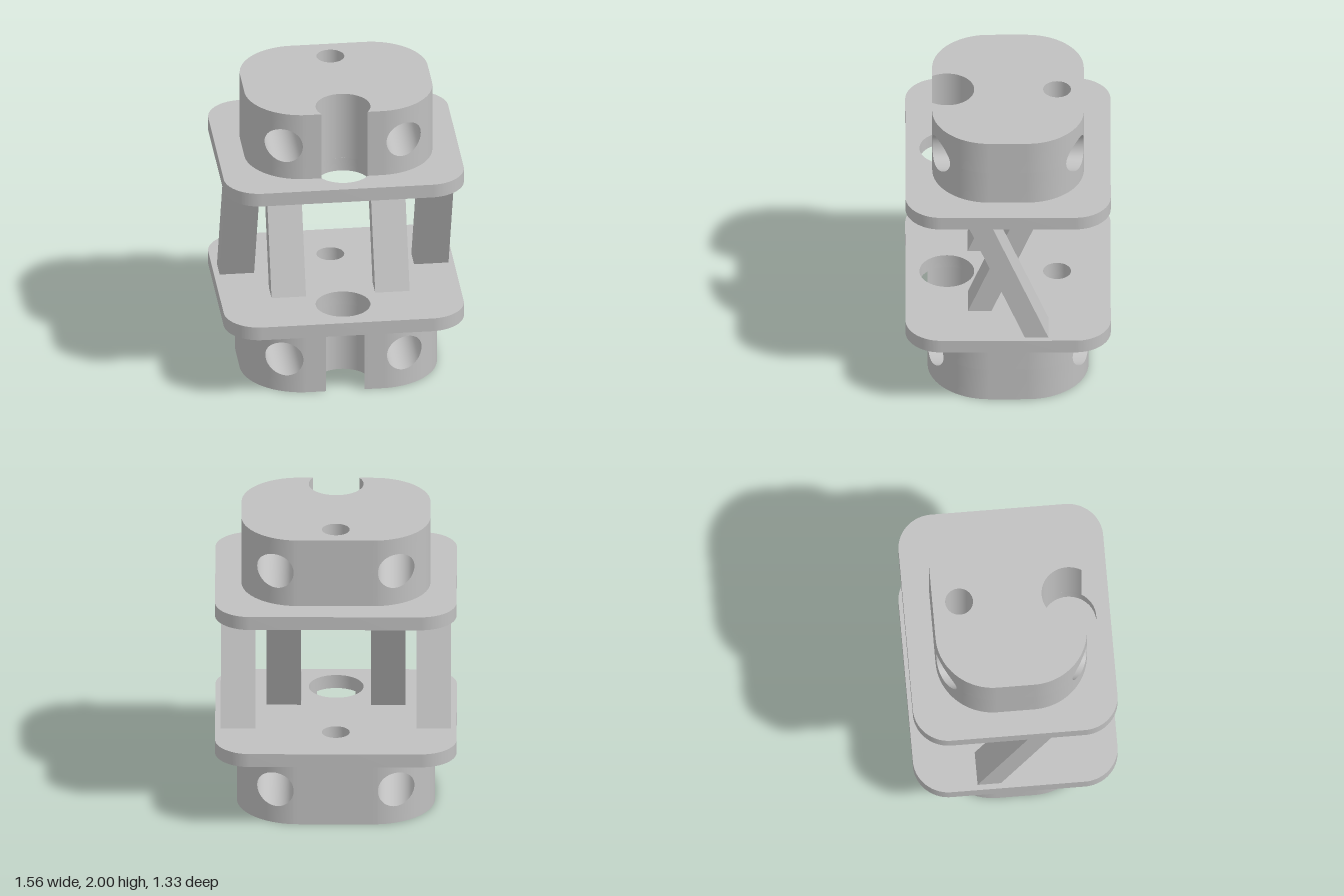
import * as THREE from 'three';
import { toCreasedNormals } from 'three/addons/utils/BufferGeometryUtils.js';

const SEG = 48;
const NOTCH = { z: 0.395, r: 0.177 };   // large vertical bore, breaks through the block fronts
const BORE = { z: -0.317, r: 0.09 };    // small vertical bore
const CROSS = { x: 0.39, r: 0.118 };    // paired bores running front to back
const FLAT_X = 0.24, FLAT_Z = 0.12;     // where the block corner arcs begin

const grey = new THREE.MeshStandardMaterial({ color: 0xc0c0c0, side: THREE.DoubleSide });
grey.name = 'plain grey';

function addMesh(parent, name, geometry) {
  const mesh = new THREE.Mesh(geometry, grey);
  mesh.name = name;
  parent.add(mesh);
  return mesh;
}

function circlePath({ z, r }, sign = 1) {
  return new THREE.Path().absarc(0, sign * z, r, 0, Math.PI * 2);
}

// Rounded plate with both vertical bores
function plateGeometry(y, height) {
  const w = 0.78, d = 0.663, r = 0.23;
  const shape = new THREE.Shape();
  shape.absarc(w - r, d - r, r, 0, Math.PI / 2);
  shape.absarc(-w + r, d - r, r, Math.PI / 2, Math.PI);
  shape.absarc(-w + r, -d + r, r, Math.PI, Math.PI * 1.5);
  shape.absarc(w - r, -d + r, r, Math.PI * 1.5, Math.PI * 2);
  shape.closePath();
  shape.holes.push(circlePath(NOTCH), circlePath(BORE));
  const geo = new THREE.ExtrudeGeometry(shape, { depth: height, bevelEnabled: false, curveSegments: SEG / 2 });
  geo.rotateX(Math.PI / 2).translate(0, y + height, 0);
  return toCreasedNormals(geo, 0.5);
}

// Indexed surface between two equal rows of points
function ribbon(low, high) {
  const n = low.length, index = [];
  for (let i = 0; i < n - 1; i++) index.push(i, i + 1, n + i + 1, i, n + i + 1, n + i);
  const geo = new THREE.BufferGeometry().setFromPoints([...low, ...high]);
  geo.setIndex(index);
  geo.computeVertexNormals();
  return geo;
}

// Open cylinder lining a vertical bore
function lining({ z, r }, y0, y1, gap = 0) {
  return new THREE.CylinderGeometry(r, r, y1 - y0, SEG, 1, true, gap, Math.PI * 2 - 2 * gap)
    .translate(0, (y0 + y1) / 2, z);
}

// Block with rounded corners, an open notch, one vertical bore and two cross bores
function block(name, y0, y1, holeY, radius, capSign) {
  const group = new THREE.Group();
  group.name = name;
  const hx = FLAT_X + radius, hz = FLAT_Z + radius;
  const gap = Math.acos((hz - NOTCH.z) / NOTCH.r);
  const edge = NOTCH.r * Math.sin(gap);
  const depthAt = x => FLAT_Z + Math.sqrt(Math.max(0, radius ** 2 - Math.max(0, x - FLAT_X) ** 2));

  // Quarter outline from the middle to the side, with columns matched to the cross bore
  function quarter(startX) {
    const xs = [startX, FLAT_X];
    for (let i = 0; i <= SEG / 2; i++) xs.push(CROSS.x - CROSS.r * Math.cos(Math.PI * 2 * i / SEG));
    const a0 = Math.acos((CROSS.x + CROSS.r - FLAT_X) / radius);
    for (let i = 1; i <= 12; i++) xs.push(FLAT_X + radius * Math.cos(a0 * (1 - i / 12)));
    return xs.map(x => new THREE.Vector2(x, depthAt(x)));
  }
  const back = quarter(0).reverse().map(p => new THREE.Vector2(p.x, -p.y));
  const half = [...quarter(edge), ...back];
  const outline = [...half, ...half.slice(0, -1).reverse().map(p => new THREE.Vector2(-p.x, p.y))];

  // Outer wall as two bands that part around the cross bores
  const row = yAt => outline.map(p => new THREE.Vector3(p.x, yAt(p.x), p.y));
  const open = x => Math.sqrt(Math.max(0, CROSS.r ** 2 - (Math.abs(x) - CROSS.x) ** 2));
  addMesh(group, 'lowerWall', ribbon(row(() => y0), row(x => holeY - open(x))));
  addMesh(group, 'upperWall', ribbon(row(x => holeY + open(x)), row(() => y1)));

  // Cross bore linings, trimmed to the curved wall
  for (const side of [-1, 1]) {
    const front = [], rear = [];
    for (let i = 0; i <= SEG; i++) {
      const a = Math.PI * 2 * i / SEG;
      const x = CROSS.x + CROSS.r * Math.cos(a), y = holeY + CROSS.r * Math.sin(a);
      front.push(new THREE.Vector3(side * x, y, depthAt(x)));
      rear.push(new THREE.Vector3(side * x, y, -depthAt(x)));
    }
    addMesh(group, side > 0 ? 'leftCrossBore' : 'rightCrossBore', ribbon(front, rear));
  }

  addMesh(group, 'notchWall', lining(NOTCH, y0, y1, gap));
  addMesh(group, 'smallBore', lining(BORE, y0, y1));

  // Exposed end face
  const points = [...outline];
  for (let i = 1; i < SEG; i++) {
    const a = -gap - (Math.PI * 2 - 2 * gap) * i / SEG;
    points.push(new THREE.Vector2(NOTCH.r * Math.sin(a), NOTCH.z + NOTCH.r * Math.cos(a)));
  }
  const shape = new THREE.Shape(points.map(p => new THREE.Vector2(p.x, -capSign * p.y)));
  shape.holes.push(circlePath(BORE, -capSign));
  const cap = new THREE.ShapeGeometry(shape, SEG / 2);
  cap.rotateX(-capSign * Math.PI / 2).translate(0, capSign > 0 ? y1 : y0, 0);
  addMesh(group, 'endFace', cap);
  return group;
}

export function createModel() {
  const model = new THREE.Group();
  model.name = 'crossLeggedCoupling';

  model.add(block('bottomBlock', 0, 0.47, 0.235, 0.4, -1));
  model.add(block('topBlock', 1.535, 2, 1.77, 0.37, 1));
  addMesh(model, 'bottomPlate', plateGeometry(0.47, 0.092));
  addMesh(model, 'topPlate', plateGeometry(1.443, 0.092));

  // Slanted struts: outer pair leans forward, inner pair leans back
  const y0 = 0.562, y1 = 1.443, height = y1 - y0;
  for (const side of [-1, 1]) {
    for (const [name, x, lean] of [['outerStrut', 0.632, 0.368], ['innerStrut', 0.337, -0.368]]) {
      const geo = new THREE.BoxGeometry(0.224, height, 0.152);
      geo.applyMatrix4(new THREE.Matrix4().makeShear(0, 0, 0, lean / height, 0, 0));
      addMesh(model, name, geo).position.set(side * x, (y0 + y1) / 2, 0);
    }
  }
  return model;
}
